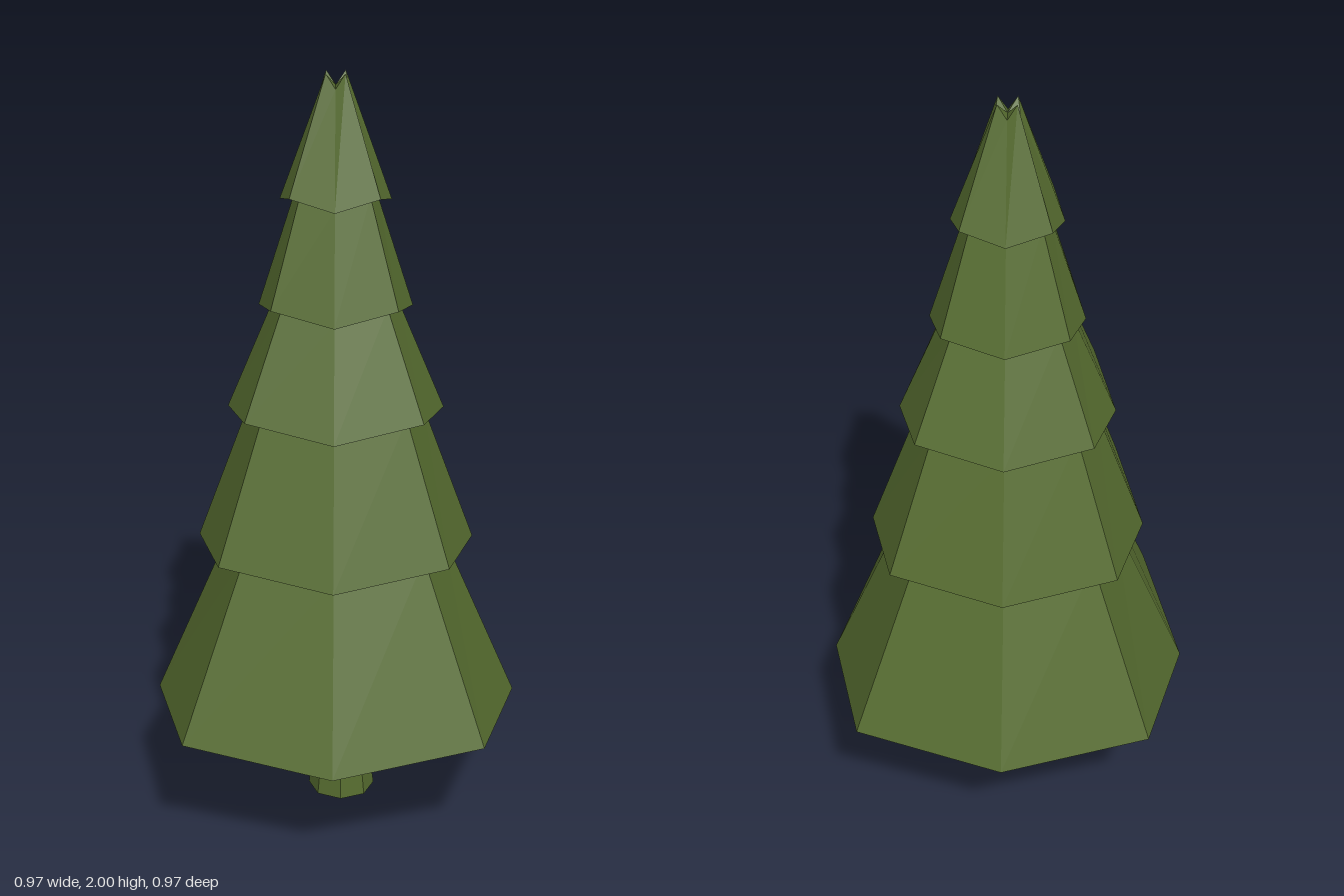
import * as THREE from 'three';

const SIDES = 8;
const material = new THREE.MeshStandardMaterial({ color: 0x556b2f, flatShading: true });

// Squarish eight-point ring: mid points at radius r, corners at (c, c) and raised by lift
function ring(r, c, y, lift) {
  return Array.from({ length: SIDES }, (_, i) => {
    const a = (i * Math.PI * 2) / SIDES;
    const corner = i % 2 === 1;
    const d = corner ? c * Math.SQRT2 : r;
    return [Math.sin(a) * d, y + (corner ? lift : 0), Math.cos(a) * d];
  });
}

// Faceted skin through a stack of rings, skipping collapsed triangles at the ends
function loft(rings) {
  const pos = [];
  const same = (p, q) => Math.hypot(p[0] - q[0], p[1] - q[1], p[2] - q[2]) < 1e-6;
  const tri = (a, b, c) => {
    if (!same(a, b) && !same(b, c) && !same(c, a)) pos.push(...a, ...b, ...c);
  };
  for (let k = 0; k < rings.length - 1; k++) {
    const lo = rings[k], hi = rings[k + 1];
    for (let i = 0; i < SIDES; i++) {
      const j = (i + 1) % SIDES;
      tri(lo[i], lo[j], hi[j]);
      tri(lo[i], hi[j], hi[i]);
    }
  }
  const geo = new THREE.BufferGeometry();
  geo.setAttribute('position', new THREE.Float32BufferAttribute(pos, 3));
  geo.computeVertexNormals();
  return geo;
}

export function createModel() {
  const tree = new THREE.Group();
  tree.name = 'pineTree';

  // Each tier: skirt mid radius, skirt corner, height, corner lift,
  // and the narrower neck of the tier below that meets its underside
  const tiers = [
    { r: 0.483, c: 0.386, y: 0.31, lift: 0.04 },
    { r: 0.361, c: 0.29, y: 0.77, lift: 0.04, neckR: 0.285, neckC: 0.228 },
    { r: 0.278, c: 0.222, y: 1.135, lift: 0.037, neckR: 0.226, neckC: 0.18 },
    { r: 0.195, c: 0.157, y: 1.41, lift: 0.033, neckR: 0.163, neckC: 0.13 },
    { r: 0.139, c: 0.111, y: 1.685, lift: 0.028, neckR: 0.107, neckC: 0.086 },
  ];
  const rings = [ring(0, 0, 0.33, 0)];
  for (const t of tiers) {
    if (t.neckR) rings.push(ring(t.neckR, t.neckC, t.y, t.lift));
    rings.push(ring(t.r, t.c, t.y, t.lift));
  }
  // Notched tip
  rings.push(ring(0.03, 0.024, 1.963, 0.037), ring(0, 0, 1.968, 0));
  const foliage = new THREE.Mesh(loft(rings), material);
  foliage.name = 'foliage';
  tree.add(foliage);

  // Waisted trunk, slightly off centre
  const trunkRings = [[0, 0], [0.09, 0], [0.067, 0.19], [0.086, 0.34], [0, 0.34]]
    .map(([r, y]) => ring(r, r * Math.SQRT1_2, y, 0));
  const trunk = new THREE.Mesh(loft(trunkRings), material);
  trunk.name = 'trunk';
  trunk.position.set(0.015, 0, -0.013);
  tree.add(trunk);

  return tree;
}
